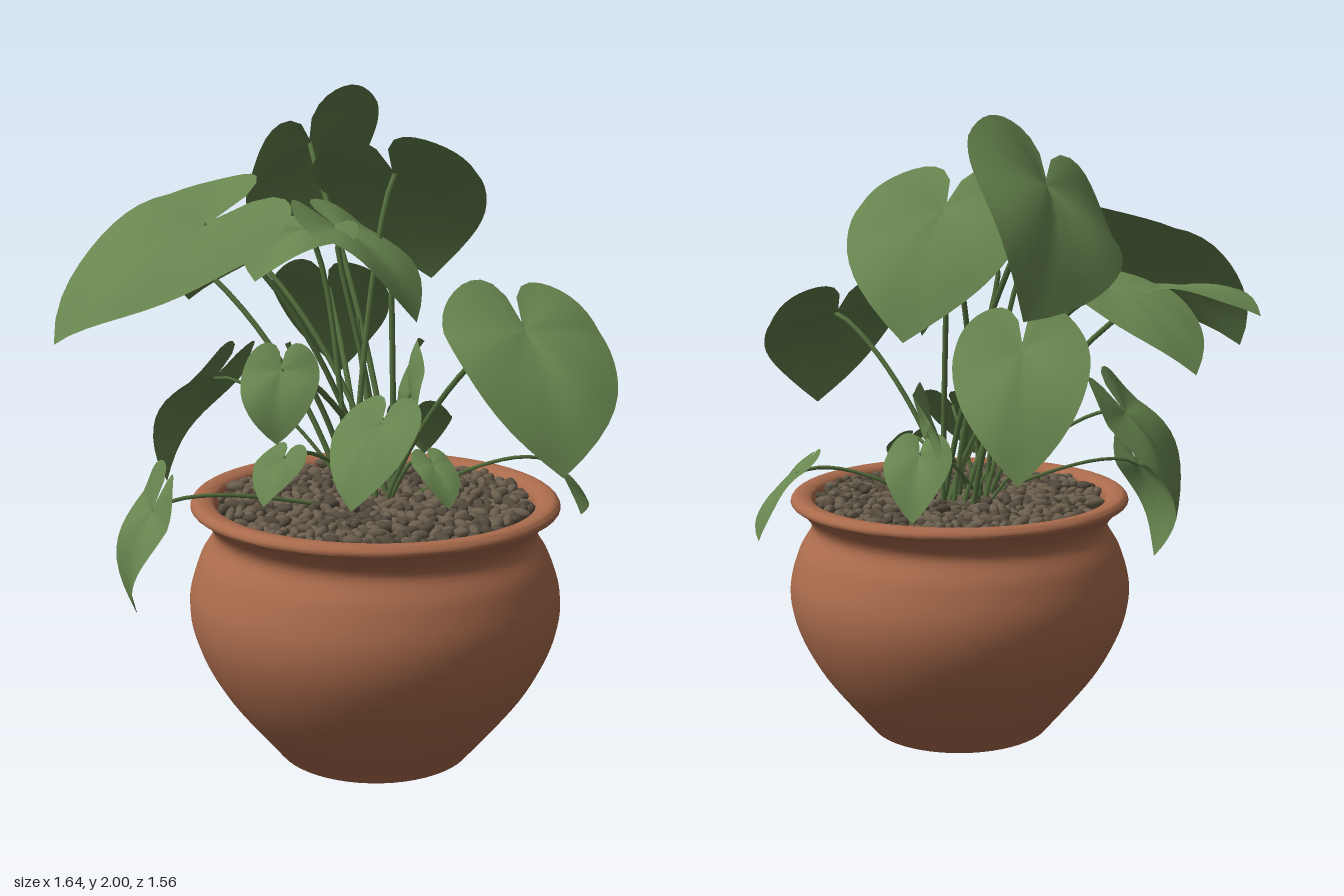
import * as THREE from 'three';
import { mergeGeometries, toCreasedNormals } from 'three/addons/utils/BufferGeometryUtils.js';

const V = (x, y, z) => new THREE.Vector3(x, y, z);
const mat = (name, color, side = THREE.FrontSide) => {
  const m = new THREE.MeshStandardMaterial({ color, side });
  m.name = name;
  return m;
};
const POT = V(0.11, 0, 0.22);

let seed = 7;
const rand = () => {
  seed = (seed * 16807) % 2147483647;
  return seed / 2147483647;
};

// Heart outline: radius around the stalk joint, by angle from the tip direction
const heartRadius = (deg) =>
  (0.48 + 0.52 * Math.exp(-Math.abs(deg) / 48)) * (1 - 0.87 * Math.exp((Math.abs(deg) - 180) / 12));

// Level leaves spread sideways; steeply hanging ones turn their face away from the pot
function acrossDirection(joint, tip) {
  const d = tip.clone().sub(joint);
  if (Math.hypot(d.x, d.z) > 0.6 * d.length()) return V(-d.z, 0, d.x);
  return V(POT.z - joint.z, 0, joint.x - POT.x);
}

// Heart-shaped blade built from rings, arched along its length and gently folded
function leafGeometry(joint, tip, across, breadth, phase) {
  const along = tip.clone().sub(joint);
  const len = along.length();
  along.normalize();
  across.addScaledVector(along, -across.dot(along)).normalize();
  const normal = across.clone().cross(along).normalize();
  if (normal.y < 0) {
    normal.negate();
    across.negate();
  }
  const N = 44, R = 6, pos = [], index = [];
  for (let r = 0; r <= R; r++) {
    for (let i = 0; i < N; i++) {
      const deg = -180 + 360 * i / N, f = THREE.MathUtils.degToRad(deg);
      const q = heartRadius(deg) * r / R;
      const v = q * Math.cos(f), u = q * Math.sin(f) * breadth;
      const arch = v > 0 ? 0.5 * v * (1 - v) : 0.25 * v;
      const w = arch + 0.16 * Math.abs(u) - 0.42 * u * u + 0.035 * q * Math.sin(4 * f + phase);
      const p = joint.clone().addScaledVector(along, v * len)
        .addScaledVector(across, u * len).addScaledVector(normal, w * len);
      pos.push(p.x, p.y, p.z);
      if (r < R) {
        const j = (i + 1) % N, a = r * N + i, b = r * N + j, c = a + N, d = b + N;
        if (r > 0) index.push(a, b, d);
        index.push(a, d, c);
      }
    }
  }
  const g = new THREE.BufferGeometry();
  g.setAttribute('position', new THREE.Float32BufferAttribute(pos, 3));
  g.setIndex(index);
  g.computeVertexNormals();
  return g;
}

// Stalk rising from the soil and bending over into the blade
function stalkGeometry(joint, tip, k) {
  const a = k * 2.4;
  const root = V(0.09 + 0.07 * Math.cos(a), 0.74, 0.17 + 0.07 * Math.sin(a));
  const rise = joint.y - root.y;
  const back = joint.clone().sub(tip).normalize().multiplyScalar(0.12);
  const c1 = root.clone().lerp(joint, 0.25).setY(root.y + rise * 0.55);
  const c2 = joint.clone().add(back).lerp(root, 0.15);
  c2.y = Math.max(c2.y, root.y + rise * 0.85);
  const curve = new THREE.CubicBezierCurve3(root, c1, c2, joint);
  return new THREE.TubeGeometry(curve, 14, rise > 0.45 ? 0.009 : 0.006, 6);
}

// Broad leaves: stalk joint, tip, direction across the blade
const BROAD = [
  [[-0.2, 1.81, -0.4], [-0.16, 1.47, -0.77], [0.3, 0.25, -0.14]],
  [[0.12, 1.73, -0.11], [0.2, 1.36, -0.43], [1, 0, 0.12]],
  [[-0.4, 1.6, 0.24], [-0.8, 1.25, 0.42], [0.17, -0.25, 0.46]],
  [[0.56, 1.35, 0.48], [0.68, 1.0, 0.73], [0.47, -0.04, -0.25]],
  [[-0.12, 1.58, 0.1], [-0.22, 1.46, 0.37], [1, 0, 0.2]],
  [[-0.14, 1.2, 0.4], [-0.14, 1.0, 0.47], [1, 0, 0]],
  [[0.18, 1.05, -0.07], [0.2, 1.19, -0.25], [0.3, 0.6, 0.5]],
];

// Narrower leaves: stalk joint, tip
const NARROW = [
  [[-0.13, 1.34, -0.35], [-0.14, 1.0, -0.65]],
  [[-0.37, 1.5, -0.12], [-0.62, 1.27, -0.4]],
  [[-0.54, 1.49, -0.02], [-0.82, 1.42, -0.16]],
  [[-0.02, 1.58, 0.08], [0.23, 1.32, 0.17]],
  [[-0.48, 0.82, 0.58], [-0.55, 0.5, 0.56]],
  [[-0.43, 1.1, 0.03], [-0.6, 0.76, 0.02]],
  [[0.62, 0.88, 0.05], [0.72, 0.68, -0.06]],
  [[0.15, 1.05, 0.4], [0.1, 0.84, 0.59]],
  [[-0.11, 0.97, 0.52], [-0.14, 0.86, 0.64]],
  [[0.3, 0.94, 0.39], [0.36, 0.83, 0.47]],
  [[0.2, 0.98, -0.12], [0.2, 0.81, -0.29]],
];

export function createModel() {
  const model = new THREE.Group();
  const terracotta = mat('terracotta', 0xaa6b4c);
  const soilBrown = mat('soilBrown', 0x3f382e);
  const pebbleBrown = mat('pebbleBrown', 0x6b5f4e);
  const pebbleDark = mat('pebbleDark', 0x544b3e);
  const leafGreen = mat('leafGreen', 0x68854f, THREE.DoubleSide);
  const stalkGreen = mat('stalkGreen', 0x55703e);
  const add = (name, geometry, material) => {
    const mesh = new THREE.Mesh(geometry, material);
    mesh.name = name;
    model.add(mesh);
    return mesh;
  };

  // Round-bellied pot with a flared, rolled rim
  const wall = new THREE.SplineCurve([
    [0.3, 0], [0.46, 0.2], [0.542, 0.36], [0.562, 0.49], [0.53, 0.61], [0.488, 0.69],
    [0.52, 0.748], [0.555, 0.775], [0.535, 0.8], [0.485, 0.785], [0.475, 0.72],
  ].map(([r, y]) => new THREE.Vector2(r, y)));
  const profile = [new THREE.Vector2(0, 0), ...wall.getPoints(60)];
  add('pot', toCreasedNormals(new THREE.LatheGeometry(profile, 56), 0.75), terracotta).position.copy(POT);

  // Soil under the pebbles
  const soil = new THREE.CircleGeometry(0.48, 40).rotateX(-Math.PI / 2);
  add('soil', soil, soilBrown).position.set(POT.x, 0.755, POT.z);

  // Pebbles scattered evenly over the soil in a spiral
  const piles = [[], []];
  const COUNT = 620;
  for (let i = 0; i < COUNT; i++) {
    const r = 0.465 * Math.sqrt((i + 0.5) / COUNT), a = i * 2.39996;
    const size = 0.017 + 0.007 * rand();
    const g = new THREE.IcosahedronGeometry(1, 1)
      .scale(size * 1.3, size * 0.7, size * 0.75)
      .rotateZ((rand() - 0.5) * 0.9)
      .rotateY(rand() * Math.PI)
      .translate(POT.x + r * Math.cos(a), 0.768 + 0.02 * rand(), POT.z + r * Math.sin(a));
    piles[rand() < 0.6 ? 0 : 1].push(g);
  }
  add('lightPebbles', mergeGeometries(piles[0]), pebbleBrown);
  add('darkPebbles', mergeGeometries(piles[1]), pebbleDark);

  // Leaves, each on its own stalk
  const addLeaf = (name, joint, tip, across, breadth, k) => {
    add(name, leafGeometry(joint, tip, across, breadth, k), leafGreen);
    add('stalk', stalkGeometry(joint, tip, k), stalkGreen);
  };
  BROAD.forEach(([j, t, across], k) => addLeaf('broadLeaf', V(...j), V(...t), V(...across), 0.95, k));
  NARROW.forEach(([j, t], k) => {
    const joint = V(...j), tip = V(...t);
    addLeaf('narrowLeaf', joint, tip, acrossDirection(joint, tip), 0.76, k + BROAD.length);
  });

  // Bare young shoots in the middle of the clump
  [[0.02, 1.3, 0.02], [-0.16, 1.25, 0.2], [0.14, 1.4, 0.1]].forEach((p, k) => {
    const end = V(...p);
    add('shoot', stalkGeometry(end, end.clone().add(V(0, 0.1, 0)), k + 0.5), stalkGreen);
  });
  return model;
}
